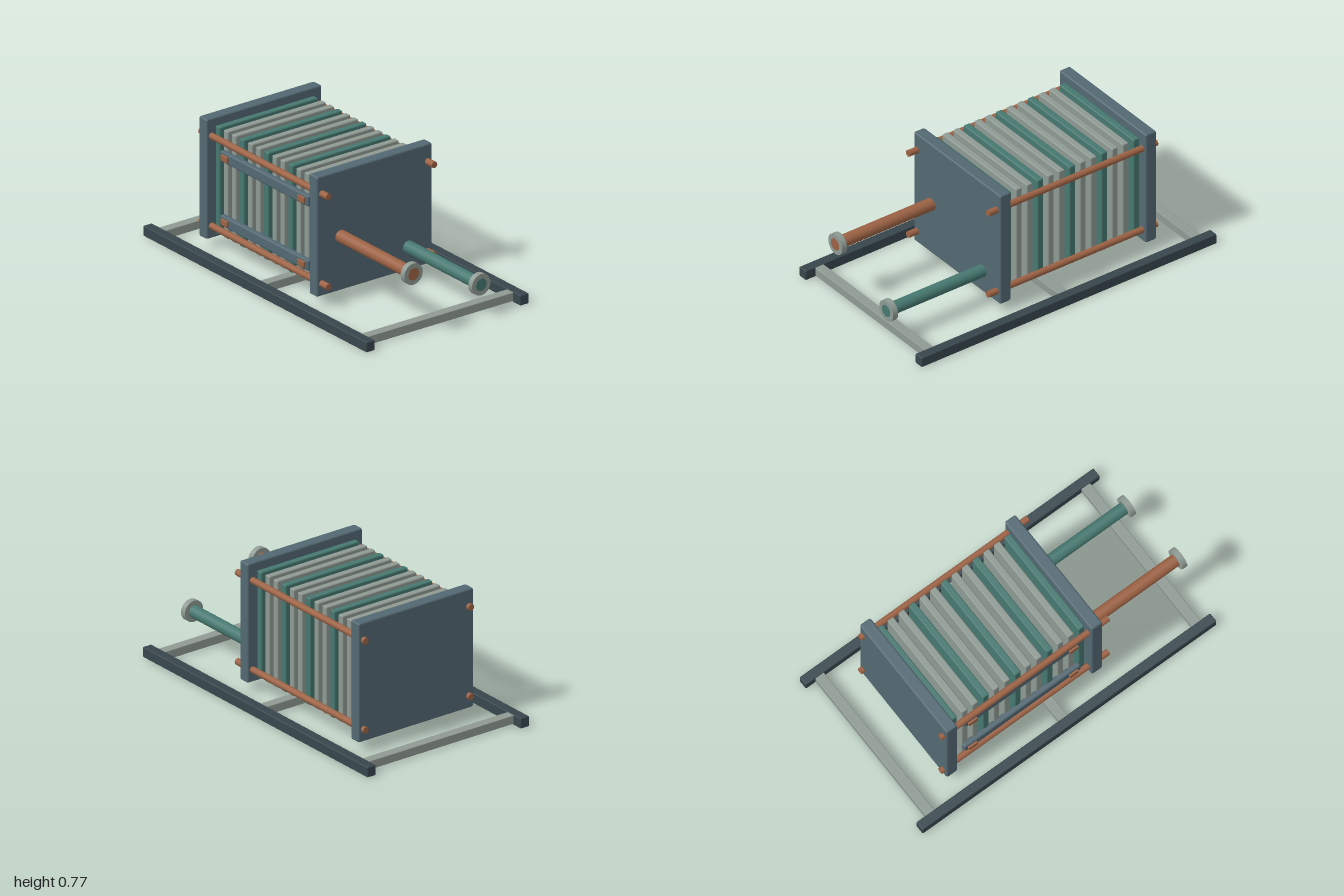
import * as THREE from 'three';
import { RoundedBoxGeometry } from 'three/addons/geometries/RoundedBoxGeometry.js';

const paint = (name, color) => {
  const m = new THREE.MeshStandardMaterial({ color });
  m.name = name;
  return m;
};

export function createModel() {
  const slate = paint('slate blue', 0x536872);
  const grey = paint('pale grey', 0x8f9a93);
  const teal = paint('teal', 0x467870);
  const copper = paint('copper', 0x9c6244);
  const dark = paint('dark steel', 0x37464c);
  const model = new THREE.Group();
  model.name = 'plateHeatExchanger';

  const add = (name, geometry, material, x, y, z) => {
    const mesh = new THREE.Mesh(geometry, material);
    mesh.name = name;
    mesh.position.set(x, y, z);
    model.add(mesh);
  };
  // Box with small chamfered edges, given by its limits on each axis
  const box = (name, material, [x0, x1], [y0, y1], [z0, z1], bevel) =>
    add(name, new RoundedBoxGeometry(x1 - x0, y1 - y0, z1 - z0, 1, bevel), material,
      (x0 + x1) / 2, (y0 + y1) / 2, (z0 + z1) / 2);
  // Cylinder lying along x
  const rod = (name, material, x0, x1, y, z, radius, sides) =>
    add(name, new THREE.CylinderGeometry(radius, radius, x1 - x0, sides).rotateZ(-Math.PI / 2),
      material, (x0 + x1) / 2, y, z);

  // Base frame: two long rails and three cross members
  for (const z of [-0.525, 0.525])
    box('baseRail', dark, [-1, 1], [0, 0.06], [z - 0.029, z + 0.029], 0.005);
  for (const x of [-0.906, 0, 0.906])
    box('crossMember', grey, [x - 0.029, x + 0.029], [0.006, 0.057], [-0.51, 0.51], 0.004);

  // Thick end plates
  for (const x of [-0.677, 0.31])
    box('endPlate', slate, [x - 0.036, x + 0.036], [0.058, 0.767], [-0.393, 0.393], 0.01);

  // Stack of exchanger plates, every third one teal
  for (let i = 0; i < 13; i++) {
    const x = -0.62 + i * 0.0723;
    box('exchangerPlate', i % 3 ? grey : teal,
      [x - 0.02, x + 0.02], [0.083, 0.72], [-0.336, 0.336], 0.007);
  }

  // Tie rods through the four corners
  for (const y of [0.133, 0.665])
    for (const z of [-0.361, 0.361])
      rod('tieRod', copper, -0.735, 0.408, y, z, 0.019, 12);

  // Front straps with clamp pads
  for (const y of [0.193, 0.573]) {
    box('frontStrap', slate, [-0.567, 0.224], [y - 0.032, y + 0.032], [0.325, 0.362], 0.01);
    for (const x of [-0.516, 0.17])
      box('clampPad', copper, [x - 0.03, x + 0.03], [y - 0.018, y + 0.018], [0.345, 0.374], 0.004);
  }

  // Inlet and outlet pipes with end flanges
  for (const [name, material, y, z] of [['hot', copper, 0.38, 0.232], ['cold', teal, 0.195, -0.23]]) {
    rod(name + 'Pipe', material, 0.33, 1, y, z, 0.036, 24);
    rod(name + 'Flange', grey, 0.964, 0.998, y, z, 0.063, 24);
  }
  return model;
}
